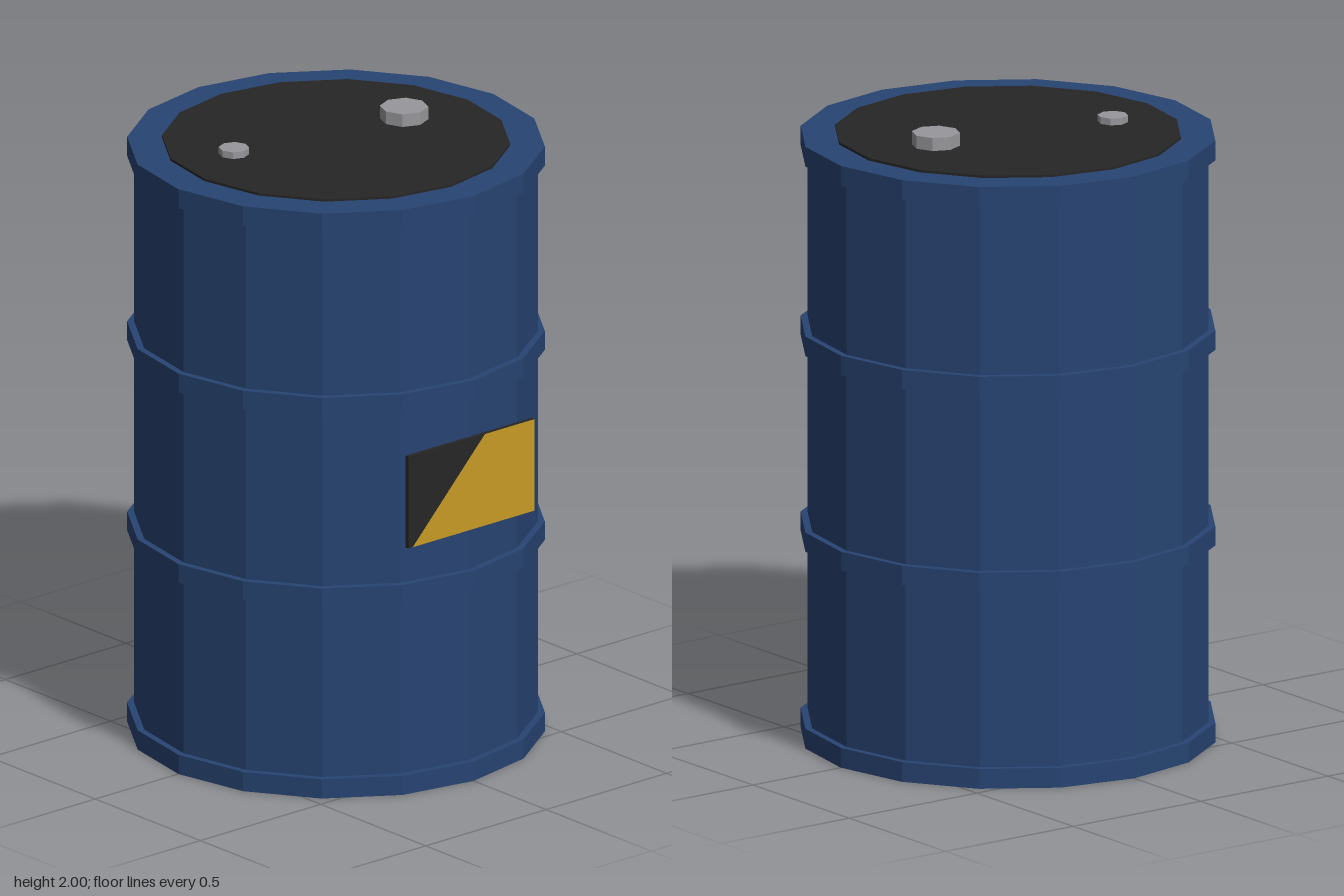
import * as THREE from 'three';

export function createModel() {
  const model = new THREE.Group();
  model.name = 'barrel';

  const makeMaterial = (name, color, options = {}) =>
    new THREE.MeshStandardMaterial({ name, color, flatShading: true, ...options });
  const blue = makeMaterial('blue paint', 0x274472);
  const black = makeMaterial('black', 0x262626);
  const steel = makeMaterial('grey steel', 0x98989c);
  const yellow = makeMaterial('yellow', 0xc89b25);

  const add = (name, geometry, material, x = 0, y = 0, z = 0) => {
    const mesh = new THREE.Mesh(geometry, material);
    mesh.name = name;
    mesh.position.set(x, y, z);
    model.add(mesh);
  };

  // Upright faceted disc or drum between two heights
  const drum = (name, radius, bottom, top, sides, material, x = 0, z = 0) =>
    add(name, new THREE.CylinderGeometry(radius, radius, top - bottom, sides),
      material, x, (bottom + top) / 2, z);

  // Body, with its rims and rolling hoops
  drum('body', 0.633, 0.005, 1.94, 16, blue);
  const bands = [
    ['bottomRim', 0, 0.064],
    ['lowerHoop', 0.638, 0.7],
    ['upperHoop', 1.272, 1.335],
    ['topRim', 1.886, 1.95],
  ];
  for (const [name, bottom, top] of bands) drum(name, 0.655, bottom, top, 16, blue);

  // Lid and its two bungs
  drum('lid', 0.546, 1.94, 1.958, 16, black);
  drum('largeBung', 0.076, 1.95, 2, 8, steel, 0.283, 0);
  drum('smallBung', 0.048, 1.95, 1.98, 8, steel, -0.328, -0.11);

  // Label plate on the front, with a diagonal yellow field
  add('labelPlate', new THREE.BoxGeometry(0.524, 0.305, 0.014), black, 0, 0.988, 0.637);
  const field = new THREE.Shape([
    new THREE.Vector2(-0.245, -0.1525),
    new THREE.Vector2(0.262, -0.1525),
    new THREE.Vector2(0.262, 0.1525),
    new THREE.Vector2(0.055, 0.1525),
  ]);
  add('labelField', new THREE.ShapeGeometry(field), yellow, 0, 0.988, 0.6455);

  return model;
}
